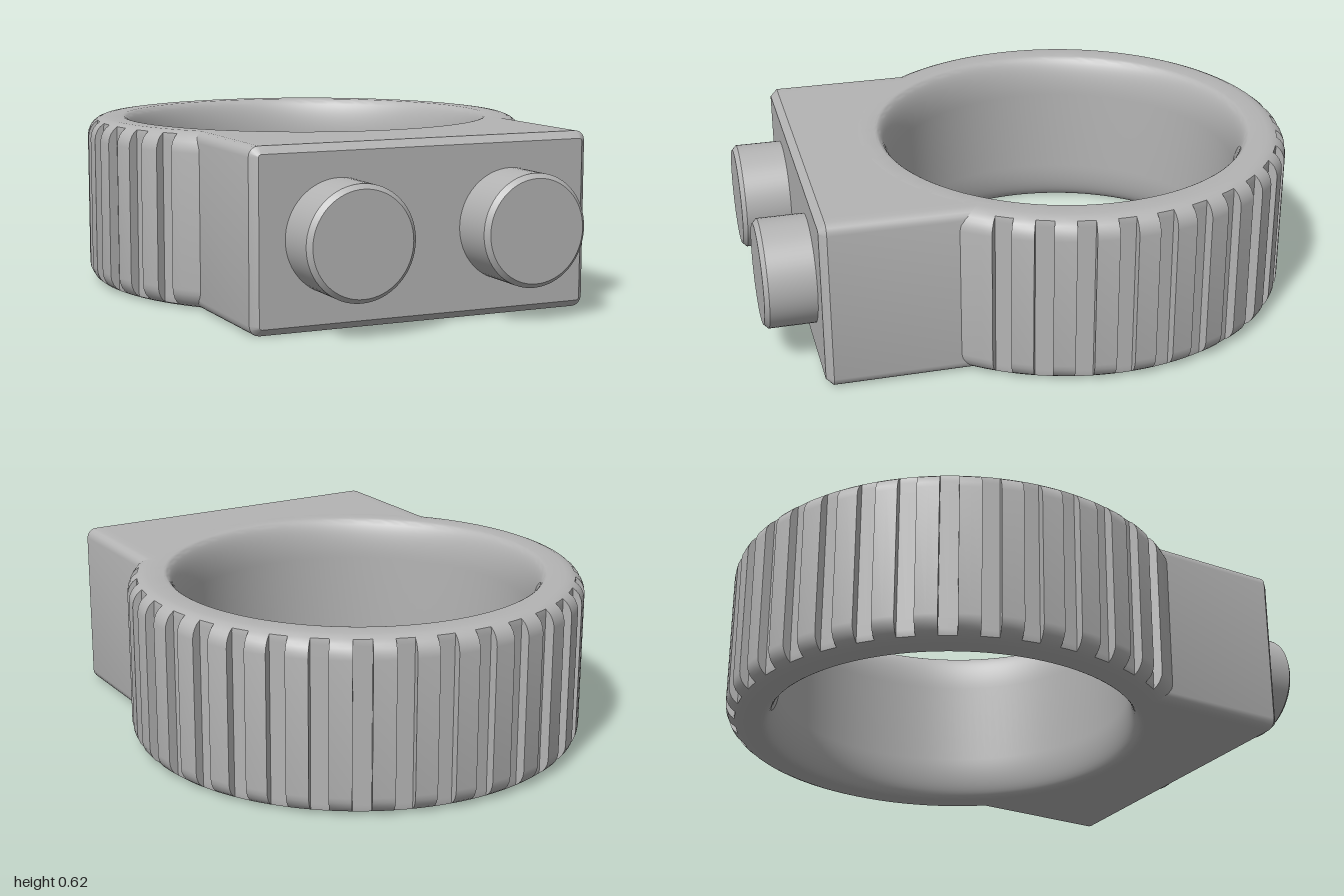
import * as THREE from 'three';
import { toCreasedNormals } from 'three/addons/utils/BufferGeometryUtils.js';

const H = 0.615;         // overall height
const RING_Z = -0.18;    // ring centre
const OUTER = 0.82, INNER = 0.64, GROOVE = 0.787;
const rad = THREE.MathUtils.degToRad;

// Skin a list of closed cross-sections, each with the same number of points
function loft(sections) {
  const n = sections[0].length;
  const index = [];
  for (let i = 0; i < sections.length - 1; i++) {
    for (let j = 0; j < n; j++) {
      const k = (j + 1) % n;
      const a = i * n + j, b = i * n + k, c = b + n, d = a + n;
      index.push(a, b, c, a, c, d);
    }
  }
  const g = new THREE.BufferGeometry();
  g.setAttribute('position', new THREE.Float32BufferAttribute(sections.flat(2), 3));
  g.setIndex(index);
  return toCreasedNormals(g, 0.5);
}

// Ring cross-section as [radius, y]: rounded outside, gently flared bore
function ringProfile() {
  const fillet = 0.07, lipR = 0.05, lipY = 0.15;
  const outer = [], bore = [];
  const steps = [0, 15, 32, 45, 60, 75, 90];
  for (const s of steps) {
    const t = rad(s);
    outer.push([OUTER - fillet + fillet * Math.cos(t), H - fillet + fillet * Math.sin(t)]);
  }
  for (let i = 12; i >= 0; i--) {
    const t = rad(i * 7.5);
    bore.push([INNER + lipR - lipR * Math.cos(t), H - lipY + lipY * Math.sin(t)]);
  }
  const upper = [...outer, ...bore];
  const lower = upper.map(([r, y]) => [r, H - y]).reverse();
  return [...upper, ...lower];
}

// Ring with straight grip grooves every 10 degrees, except where the block joins
function ringGeometry() {
  const profile = ringProfile();
  const half = 2.3;
  const sections = [];
  const add = (deg, limit) => {
    const a = rad(deg);
    sections.push(profile.map(([r, y]) => {
      const q = Math.min(r, limit);
      return [q * Math.cos(a), y, RING_Z + q * Math.sin(a)];
    }));
  };
  for (let k = -21; k < 15; k++) {
    const mid = k * 10;
    const floor = (d) => (k <= 3 ? GROOVE * Math.cos(rad(half)) / Math.cos(rad(d)) : OUTER);
    add(mid - 5, OUTER);
    add(mid - half, OUTER);
    for (const d of [-half, 0, half]) add(mid + d, floor(d));
    add(mid + half, OUTER);
  }
  sections.push(sections[0]);
  return loft(sections);
}

// Rounded rectangle perimeter, counter-clockwise from the front
function blockOutline(inset) {
  const w = 0.625, corner = 0.035, r = corner - inset;
  const cx = w - corner, cy = H / 2 - corner;
  const pts = [];
  const arc = (x, y, from) => {
    for (let i = 0; i <= 4; i++) {
      const t = rad(from + i * 22.5);
      pts.push([x + r * Math.cos(t), H / 2 + y + r * Math.sin(t)]);
    }
  };
  const edge = (dir, y) => {
    for (let i = 1; i < 32; i++) pts.push([dir * cx * (1 - i / 16), H / 2 + y]);
  };
  arc(cx, cy, 0);
  edge(1, cy + r);
  arc(-cx, cy, 90);
  arc(-cx, -cy, 180);
  edge(-1, -cy - r);
  arc(cx, -cy, 270);
  return pts;
}

// Block whose rear follows the ring and whose front edges are chamfered
function blockGeometry() {
  const chamfer = 0.025, front = 0.82;
  const full = blockOutline(0), face = blockOutline(chamfer);
  return loft([
    full.map(([x, y]) => [x, y, RING_Z + Math.sqrt(0.72 ** 2 - x * x)]),
    full.map(([x, y]) => [x, y, front - chamfer]),
    face.map(([x, y]) => [x, y, front]),
    face.map(() => [0, H / 2, front]),
  ]);
}

// Round push button with a small chamfer
function buttonGeometry() {
  const r = 0.192, c = 0.016;
  const points = [[r, 0.78], [r, 1 - c], [r - c, 1], [0, 1]].map(([x, y]) => new THREE.Vector2(x, y));
  const g = new THREE.LatheGeometry(points, 64);
  g.rotateX(Math.PI / 2);
  return toCreasedNormals(g, 0.5);
}

export function createModel() {
  const grey = new THREE.MeshStandardMaterial({ color: 0xb4b4b4 });
  grey.name = 'plain grey';
  const model = new THREE.Group();
  model.name = 'ringWithButtons';

  const add = (name, geometry) => {
    const mesh = new THREE.Mesh(geometry, grey);
    mesh.name = name;
    model.add(mesh);
    return mesh;
  };

  add('gripRing', ringGeometry());
  add('frontBlock', blockGeometry());
  const button = buttonGeometry();
  for (const [name, side] of [['leftButton', 1], ['rightButton', -1]]) {
    add(name, button).position.set(side * 0.317, 0.311, 0);
  }
  return model;
}
